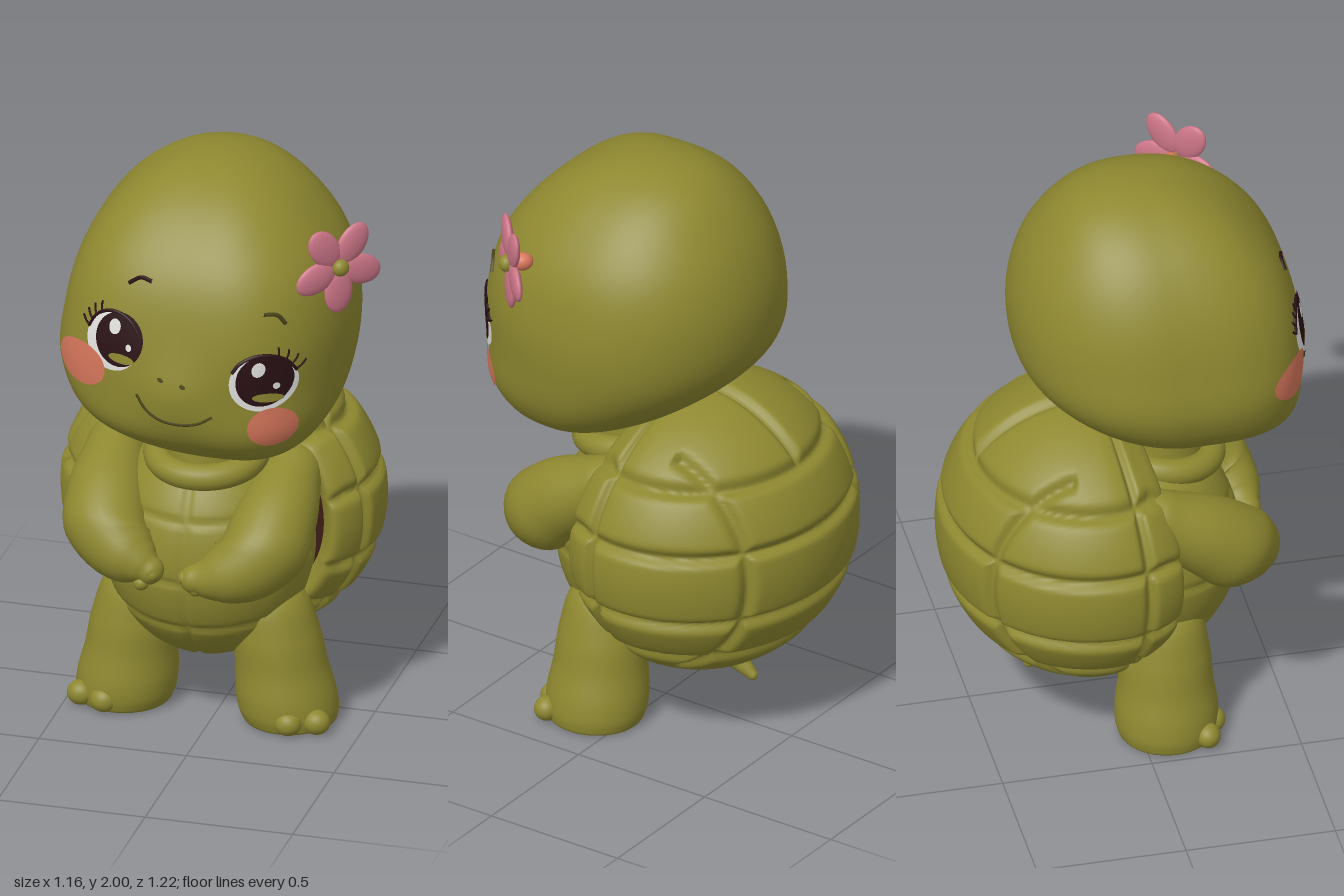
import * as THREE from 'three';

const mat = (name, color) => Object.assign(new THREE.MeshStandardMaterial({ color }), { name });
const olive = mat('olive skin', 0x8e8830), line = mat('dark olive line', 0x4a4518);
const dark = mat('dark brown', 0x2a1114), white = mat('eye white', 0xe2e2e0);
const blush = mat('blush', 0xd8775c), pink = mat('petal pink', 0xcd7688);
const inner = mat('shell inside', 0x3a1c14);

const V = (x, y, z) => new THREE.Vector3(x, y, z);
const clamp = THREE.MathUtils.clamp;
const TAU = Math.PI * 2;
const bell = (d, w) => Math.exp(-((d / w) ** 2));

// Smooth lookup in a short table
function sample(a, s) {
  const n = a.length, i = clamp(Math.floor(s), 0, n - 2), f = s - i;
  const p = k => k < 0 ? 2 * a[0] - a[1] : k >= n ? 2 * a[n - 1] - a[n - 2] : a[k];
  const [p0, p1, p2, p3] = [p(i - 1), p(i), p(i + 1), p(i + 2)];
  return p1 + 0.5 * f * (p2 - p0 + f * (2 * p0 - 5 * p1 + 4 * p2 - p3 + f * (3 * (p1 - p2) + p3 - p0)));
}

// Surface closed in u; closed bodies are turned outward by their volume
function surface(nu, nv, f, closed = true) {
  const pts = [], idx = [];
  for (let j = 0; j <= nv; j++) for (let i = 0; i < nu; i++) pts.push(f(i / nu, j / nv));
  for (let j = 0; j < nv; j++) for (let i = 0; i < nu; i++) {
    const a = j * nu + i, b = j * nu + (i + 1) % nu;
    idx.push(a, b, a + nu, b, b + nu, a + nu);
  }
  if (closed) {
    let vol = 0;
    for (let k = 0; k < idx.length; k += 3)
      vol += pts[idx[k]].dot(pts[idx[k + 1]].clone().cross(pts[idx[k + 2]]));
    if (vol < 0) idx.reverse();
  }
  const g = new THREE.BufferGeometry().setFromPoints(pts);
  g.setIndex(idx);
  g.computeVertexNormals();
  return g;
}

// Round-ended limb along a curve with varying radius
function limb(points, radii, n = 24) {
  const curve = new THREE.CatmullRomCurve3(points.map(p => V(...p)));
  const fr = curve.computeFrenetFrames(n), cap = 6, total = n + 2 * cap;
  return surface(28, total, (u, v) => {
    const k = Math.round(v * total), i = clamp(k - cap, 0, n);
    const over = (k - cap - i) / cap * Math.PI / 2;
    const r = sample(radii, i / n * (radii.length - 1)), q = r * Math.cos(over);
    return curve.getPoint(i / n).addScaledVector(fr.tangents[i], r * Math.sin(over))
      .addScaledVector(fr.normals[i], q * Math.cos(u * TAU))
      .addScaledVector(fr.binormals[i], q * Math.sin(u * TAU));
  });
}

// Head profile tables from crown to chin
const XL = [-0.01, -0.18, -0.325, -0.425, -0.475, -0.485, -0.38, -0.12, 0.12];
const XR = [-0.01, 0.165, 0.31, 0.42, 0.46, 0.45, 0.405, 0.3, 0.12];
const ZF = [0.05, 0.24, 0.4, 0.52, 0.573, 0.575, 0.56, 0.44, 0.27];
const ZB = [0.05, -0.13, -0.25, -0.335, -0.365, -0.32, -0.15, 0.07, 0.27];
const ZC = [0.05, 0.06, 0.07, 0.08, 0.09, 0.1, 0.17, 0.24, 0.27];
const headS = y => Math.acos(clamp((y - 1.51) / 0.49, -1, 1)) / Math.PI * 8;
const headX = s => [(sample(XL, s) + sample(XR, s)) / 2, (sample(XR, s) - sample(XL, s)) / 2];
function frontZ(s, u, x, y) {
  const n = 2.8 - 0.4 * u, c = sample(ZC, s);
  return c + (sample(ZF, s) - c) * Math.max(0, 1 - Math.abs(u) ** n) ** (1 / n)
    + 0.036 * bell(x + 0.02, 0.14) * bell(y - 1.32, 0.12);
}
function headZ(x, y) {
  const s = headS(y), [c, r] = headX(s);
  return frontZ(s, clamp((x - c) / r, -0.985, 0.985), x, y);
}
// Point lifted off the face
function onFace(x, y, lift) {
  const e = 0.004;
  const n = V((headZ(x - e, y) - headZ(x + e, y)) / (2 * e), (headZ(x, y - e) - headZ(x, y + e)) / (2 * e), 1).normalize();
  return V(x, y, headZ(x, y)).addScaledVector(n, lift);
}
const facePatch = (cx, cy, rx, ry, tilt, lift) => surface(40, 8, (u, v) => {
  const a = u * TAU, x = rx * (1 - v) * Math.cos(a), y = ry * (1 - v) * Math.sin(a);
  return onFace(cx + x * Math.cos(tilt) - y * Math.sin(tilt), cy + x * Math.sin(tilt) + y * Math.cos(tilt), lift);
}, false);
const faceTube = (pts, r, lift = 0.003) =>
  new THREE.TubeGeometry(new THREE.CatmullRomCurve3(pts.map(p => onFace(p[0], p[1], lift))), 20, r, 6);

export function createModel() {
  const model = new THREE.Group();
  const add = (name, geo, m = olive, parent = model) => {
    const mesh = new THREE.Mesh(geo, m);
    mesh.name = name;
    parent.add(mesh);
    return mesh;
  };
  const ball = (name, p, s, m = olive, parent = model) => {
    const b = add(name, new THREE.SphereGeometry(1, 24, 16), m, parent);
    b.position.set(...p);
    b.scale.set(...s);
    return b;
  };

  // Head
  add('head', surface(96, 64, (u, v) => {
    const s = v * 8, y = 1.51 + 0.49 * Math.cos(v * Math.PI), [c, r] = headX(s);
    const k = Math.cos(u * TAU), x = c + r * k, zc = sample(ZC, s);
    const z = u <= 0.5 ? frontZ(s, k, x, y)
      : zc + (sample(ZB, s) - zc) * Math.max(0, 1 - Math.abs(k) ** 2.1) ** (1 / 2.1);
    return V(x, y, z);
  }));

  // Eyes: white, iris, glow and highlights, lid line and lashes
  const eyes = [
    { n: 'right', c: [-0.232, 1.49], w: [0.094, 0.1], i: [-0.208, 1.5], side: -1 },
    { n: 'left', c: [0.262, 1.385], w: [0.1, 0.1], i: [0.266, 1.395], side: 1 },
  ];
  for (const { n, c, w, i, side } of eyes) {
    add(n + 'EyeWhite', facePatch(...c, ...w, -0.2, 0.004), white);
    add(n + 'Iris', facePatch(...i, 0.083, 0.092, -0.2, 0.007), dark);
    add(n + 'IrisGlow', facePatch(i[0] + 0.01, i[1] - 0.062, 0.045, 0.016, -0.1, 0.009), olive);
    add(n + 'Highlight', facePatch(i[0] - 0.015, i[1] + 0.043, 0.02, 0.026, -0.2, 0.01), white);
    add(n + 'SmallHighlight', facePatch(i[0] + 0.035, i[1] - 0.02, 0.01, 0.012, 0, 0.01), white);
    const rim = (a, k) => [c[0] + side * w[0] * k * Math.cos(a), c[1] + w[1] * k * Math.sin(a)];
    add(n + 'LidLine', faceTube([0.3, 0.8, 1.3, 1.8, 2.3, 2.7].map(a => rim(a, 1)), 0.006), dark);
    for (const a of [0.35, 0.6, 0.85, 1.1])
      add(n + 'Lash', faceTube([rim(a, 1), rim(a + 0.04, 1.15), rim(a + 0.12, 1.32)], 0.0035, 0.006), dark);
  }
  add('rightBrow', faceTube([[-0.19, 1.685], [-0.15, 1.707], [-0.11, 1.7]], 0.007), dark);
  add('leftBrow', faceTube([[0.26, 1.62], [0.3, 1.612], [0.325, 1.58]], 0.007), line);
  add('rightCheek', facePatch(-0.35, 1.385, 0.092, 0.075, -0.1, 0.005), blush);
  add('leftCheek', facePatch(0.287, 1.222, 0.07, 0.07, 0, 0.005), blush);
  add('mouth', faceTube([[-0.145, 1.325], [-0.11, 1.275], [-0.06, 1.245], [0, 1.236], [0.06, 1.243], [0.11, 1.27]], 0.005, 0.001), line);
  for (const p of [[-0.06, 1.39], [0.015, 1.375]])
    add('nostril', facePatch(...p, 0.011, 0.007, -0.5, 0.003), line);

  // Flower on the side of the head
  const flower = new THREE.Group();
  flower.name = 'flower';
  flower.position.set(0.455, 1.73, 0.295);
  flower.rotation.y = 0.8;
  model.add(flower);
  for (let k = 0; k < 5; k++) {
    const a = -Math.PI / 2 + k * TAU / 5;
    const petal = ball('petal', [0.088 * Math.cos(a), 0.088 * Math.sin(a), 0.005], [0.077, 0.052, 0.018], pink, flower);
    petal.rotation.z = a;
  }
  ball('flowerCentre', [0, 0, 0.02], [0.029, 0.029, 0.025], olive, flower);
  ball('flowerBase', [0, 0, -0.035], [0.03, 0.03, 0.035], blush, flower);

  // Shell: grooved dome with a rolled front rim
  const edge = Math.acos(-0.42);
  add('shell', surface(260, 110, (u, v) => {
    const t = Math.min(v / 0.9, 1) * edge, w = Math.max(0, v - 0.9) / 0.1, a = u * TAU;
    const x = 0.54 * Math.sin(t) * Math.cos(a), y = 0.5 * Math.sin(t) * Math.sin(a);
    const front = t > Math.PI / 2;
    const z = -Math.cos(t) * (front ? 0.45 : 0.48);
    let g = bell(t - 1.83, 0.035);
    for (const row of [0.31, 0.11, -0.15, -0.32]) g = Math.max(g, bell(y - row, 0.018));
    if (z < -0.1) g = Math.max(g, bell(Math.abs(x) - 0.32, 0.018));
    if (y > 0.31) g = Math.max(g, bell(x, 0.018));
    const k = (1 - 0.055 * g * (1 - w)) * (1 - 0.2 * w);
    const bend = front ? 0.1 * (y / 0.5) ** 2 * clamp(z / 0.19, 0, 1) : 0;
    return V(-0.05 + x * k, 0.69 + y * k, -0.13 + z * (1 - 0.055 * g * (1 - w)) - bend + 0.05 * Math.sin(Math.PI * w));
  }));
  const lining = add('shellLining', new THREE.CircleGeometry(1, 48), inner);
  lining.scale.set(0.45, 0.42, 1);
  lining.position.set(-0.05, 0.69, 0);

  // Belly with plate seams, neck and collar
  add('belly', surface(120, 90, (u, v) => {
    const t = v * Math.PI, a = u * TAU;
    const x = 0.35 * Math.sin(t) * Math.cos(a), y = 0.4 * Math.cos(t), z = 0.33 * Math.sin(t) * Math.sin(a);
    let g = bell(x, 0.01);
    for (const row of [0.17, -0.04, -0.22]) g = Math.max(g, bell(y - row - 0.3 * x * x, 0.01));
    const k = 1 - 0.03 * g * (z > 0 ? 1 : 0);
    return V(-0.045 + x * k, 0.6 + y * k, 0.06 + z * k);
  }));
  const neck = add('neck', new THREE.CylinderGeometry(0.12, 0.14, 0.3, 32));
  neck.position.set(-0.03, 0.98, 0.14);
  const collar = add('collar', new THREE.TorusGeometry(0.165, 0.045, 16, 48));
  collar.rotation.x = Math.PI / 2 + 0.15;
  collar.position.set(-0.03, 0.94, 0.14);

  // Arms folded toward the chest
  const armRadii = [0.1, 0.135, 0.14, 0.095, 0.05];
  add('leftArm', limb([[0.24, 0.87, 0.08], [0.23, 0.77, 0.24], [0.2, 0.67, 0.355], [0.09, 0.62, 0.41], [0.01, 0.61, 0.43]], armRadii));
  add('rightArm', limb([[-0.36, 0.88, 0.06], [-0.345, 0.78, 0.22], [-0.31, 0.69, 0.335], [-0.21, 0.645, 0.4], [-0.15, 0.62, 0.42]], armRadii));
  for (const [x, d] of [[-0.02, 1], [-0.135, -1]])
    for (const k of [0, 1]) ball('finger', [x + d * 0.035 * k, 0.615 - 0.035 * k, 0.44], [0.026, 0.026, 0.028]);

  // Legs with toes
  const LY = [0, 0, 0.03, 0.1, 0.2, 0.32, 0.45, 0.52], LR = [0, 0.13, 0.16, 0.165, 0.152, 0.143, 0.11, 0];
  for (const [name, foot, hip, z0, turn] of [['right', -0.325, -0.265, 0.08, -0.03], ['left', 0.245, 0.17, 0.1, 0.03]]) {
    add(name + 'Leg', surface(40, 56, (u, v) => {
      const s = v * 7, y = Math.max(0.005, sample(LY, s)), r = Math.max(0, sample(LR, s)), a = u * TAU;
      const cx = foot + (hip - foot) * clamp(y / 0.48, 0, 1);
      return V(cx + r * Math.cos(a), y, z0 + 0.01 + r * 1.03 * Math.sin(a));
    }));
    for (const k of [-1, 0, 1])
      ball(name + 'Toe', [foot + turn + k * 0.087, 0.047, z0 + 0.155 - 0.035 * k * k], [0.046, 0.042, 0.042]);
  }

  // Tail
  add('tail', limb([[-0.05, 0.27, -0.15], [-0.05, 0.2, -0.24], [-0.05, 0.15, -0.31]], [0.06, 0.04, 0.018]));

  return model;
}
